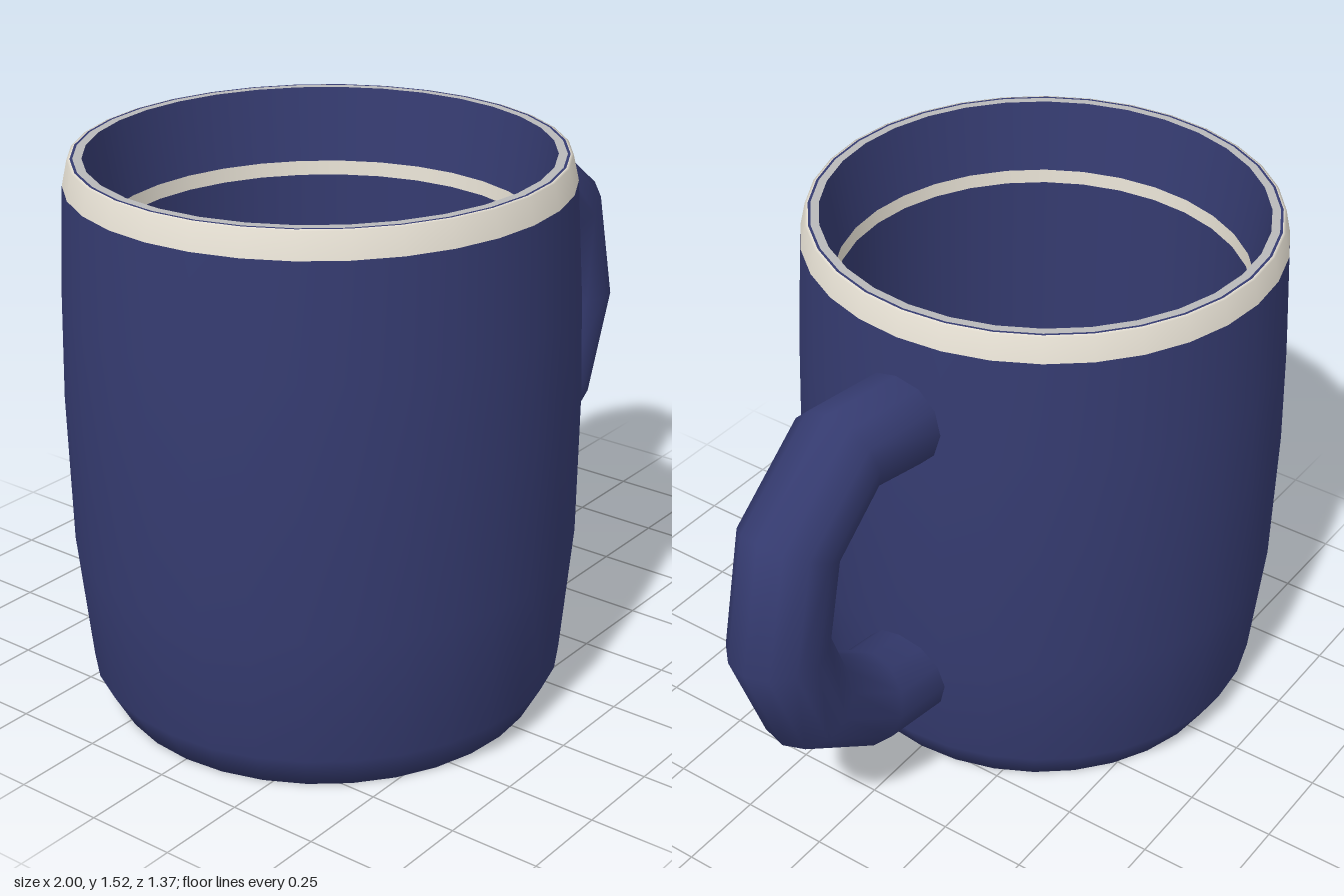
import * as THREE from 'three';

const SIDES = 32;
const CENTRE_X = -0.315;

const mat = (name, color) => {
  const m = new THREE.MeshStandardMaterial({ color });
  m.name = name;
  return m;
};

// Turned part around the mug's axis; the profile runs up the outside and down the inside
function turned(name, profile, material) {
  const points = profile.map(([r, y]) => new THREE.Vector2(r, y));
  const mesh = new THREE.Mesh(new THREE.LatheGeometry(points, SIDES), material);
  mesh.name = name;
  mesh.position.x = CENTRE_X;
  return mesh;
}

// Round tube with one mitred ring at each point of a path
function segmentedTube(path, radius, sides) {
  const pts = path.map(([x, y]) => new THREE.Vector3(x, y, 0));
  const last = pts.length - 1;
  const at = (u) => Math.round(u * last);
  const curve = new THREE.Curve();
  curve.getPointAt = (u, target = new THREE.Vector3()) => target.copy(pts[at(u)]);
  curve.getTangentAt = (u, target = new THREE.Vector3()) => {
    const i = at(u);
    target.set(0, 0, 0);
    if (i > 0) target.add(pts[i].clone().sub(pts[i - 1]).normalize());
    if (i < last) target.add(pts[i + 1].clone().sub(pts[i]).normalize());
    return target.normalize();
  };
  return new THREE.TubeGeometry(curve, last, radius, sides);
}

export function createModel() {
  const mug = new THREE.Group();
  mug.name = 'mug';
  const blue = mat('blue glaze', 0x353b70);
  const cream = mat('cream glaze', 0xebe5d8);
  const grey = mat('bare grey clay', 0xb9b9ba);

  // Barrel-shaped outside with a bevelled foot
  mug.add(turned('body', [
    [0.33, 0], [0.59, 0], [0.645, 0.1], [0.679, 0.46],
    [0.685, 0.87], [0.677, 1.15], [0.66, 1.45],
  ], blue));
  mug.add(turned('footPatch', [[0, 0], [0.33, 0]], grey));

  // Lip: softly rounded band, a fine glaze line and the bare top edge
  mug.add(turned('rimBand', [[0.66, 1.45], [0.645, 1.518], [0.637, 1.52]], cream));
  mug.add(turned('rimLine', [[0.637, 1.52], [0.63, 1.52]], blue));
  mug.add(turned('rimTop', [[0.63, 1.52], [0.607, 1.52]], grey));

  // Inside, from the lip to the floor
  mug.add(turned('innerLip', [[0.607, 1.52], [0.575, 1.315]], blue));
  mug.add(turned('innerStripe', [[0.575, 1.315], [0.572, 1.275]], cream));
  mug.add(turned('innerWall', [[0.572, 1.275], [0.572, 0.1]], blue));
  mug.add(turned('innerFloor', [[0.572, 0.1], [0, 0.1]], cream));

  // Angular handle, its ends sunk into the wall
  const handle = new THREE.Mesh(segmentedTube([
    [0.3, 1.195], [0.595, 1.243], [0.8, 1.08], [0.864, 0.795],
    [0.768, 0.543], [0.535, 0.378], [0.3, 0.34],
  ], 0.134, 12), blue);
  handle.name = 'handle';
  mug.add(handle);

  return mug;
}
